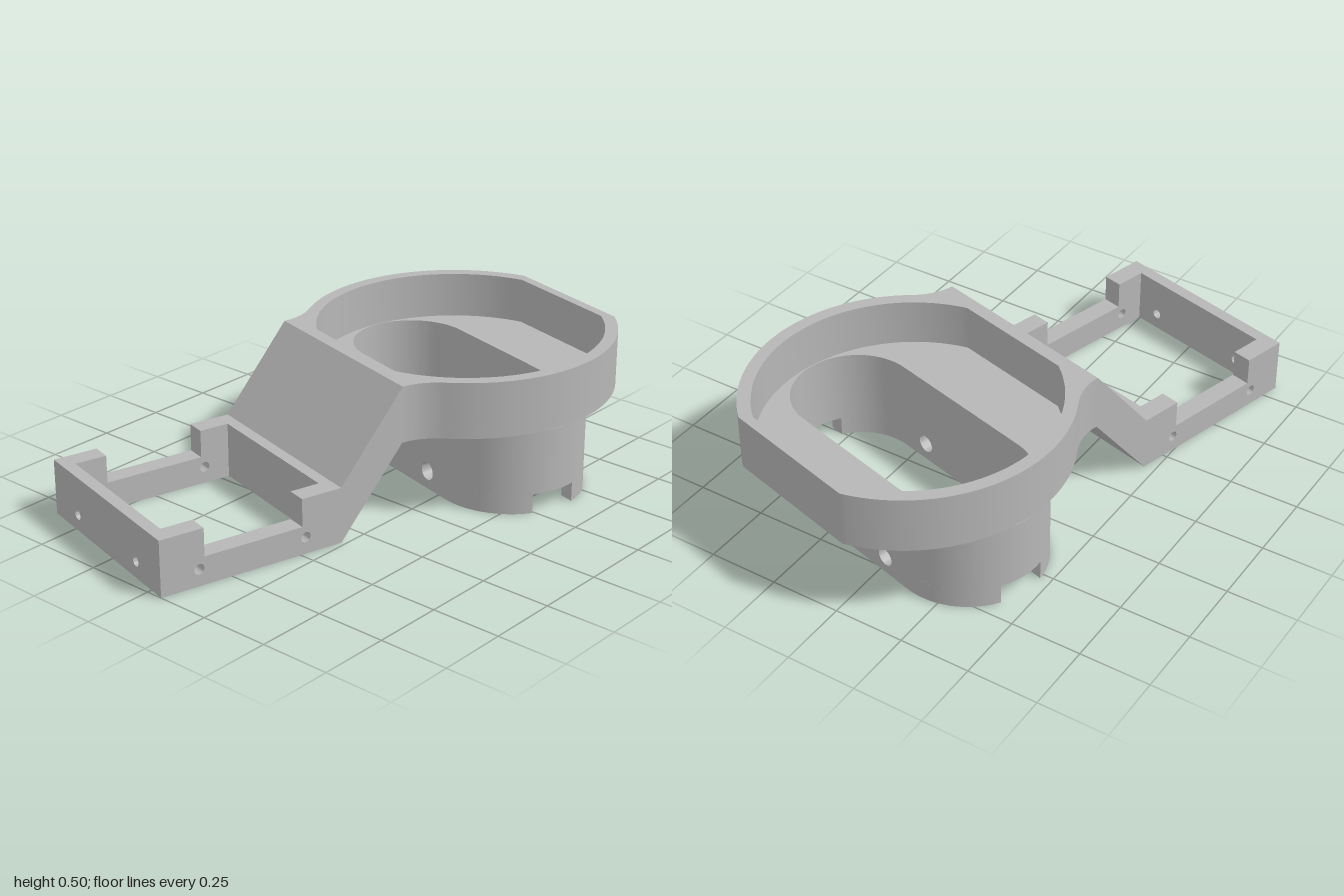
import * as THREE from 'three';
import { toCreasedNormals } from 'three/addons/utils/BufferGeometryUtils.js';

export function createModel() {
  const grey = new THREE.MeshStandardMaterial({ color: 0xb6b6b6 });
  grey.name = 'grey plastic';
  const model = new THREE.Group();
  model.name = 'bracket';

  // Body is laid out along its own long axis (u = x, v = z), then turned 15 degrees
  const body = new THREE.Group();
  body.name = 'bracketBody';
  body.rotation.y = -Math.PI / 12;
  body.position.set(0.011, 0, -0.0415);
  model.add(body);

  const extrude = (shape, depth) =>
    new THREE.ExtrudeGeometry(shape, { depth, bevelEnabled: false, curveSegments: 28 });
  const add = (name, geometry) => {
    const mesh = new THREE.Mesh(toCreasedNormals(geometry, 0.5), grey);
    mesh.name = name;
    body.add(mesh);
    return mesh;
  };
  // Plan shape (u, v) raised from y0 to y1
  const addUp = (name, shape, y0, y1) =>
    add(name, extrude(shape, y1 - y0).rotateX(Math.PI / 2).translate(0, y1, 0));
  // Side profile (u, y) carried across v
  const addAcross = (name, shape, v0, v1) =>
    add(name, extrude(shape, v1 - v0).translate(0, 0, v0));
  // End profile (v, y) carried along u
  const addAlong = (name, shape, u0, u1) =>
    add(name, extrude(shape, u1 - u0).rotateY(Math.PI / 2).translate(u0, 0, 0));

  const polygon = (points) => new THREE.Shape(points.map(([a, b]) => new THREE.Vector2(a, b)));
  const rect = (a0, b0, a1, b1) => polygon([[a0, b0], [a1, b0], [a1, b1], [a0, b1]]);
  const drill = (shape, a, b, r) => {
    shape.holes.push(new THREE.Path().absarc(a, b, r, 0, Math.PI * 2, true));
    return shape;
  };

  const HALF = 0.36;          // half width of frame and ramp
  const C = 0.468;            // centre of the cup
  const START = -0.274, END = -0.033; // ramp start and end

  // Open rectangular frame: notched, drilled side walls
  for (const s of [-1, 1]) {
    const side = polygon([
      [-0.905, 0], [-0.316, 0], [-0.316, 0.2], [-0.425, 0.2],
      [-0.425, 0.1], [-0.79, 0.1], [-0.79, 0.2], [-0.905, 0.2],
    ]);
    drill(side, -0.81, 0.06, 0.018);
    drill(side, -0.412, 0.06, 0.018);
    const mid = s * (HALF - 0.035);
    addAcross('frameSideWall', side, mid - 0.035, mid + 0.035);
  }
  const endWall = rect(-HALF, 0, HALF, 0.2);
  drill(endWall, -0.2, 0.06, 0.018);
  drill(endWall, 0.2, 0.06, 0.018);
  addAlong('frameEndWall', endWall, -0.95, -0.905);
  addAlong('frameInnerWall', rect(-HALF, 0, HALF, 0.2), -0.316, START);

  // Sloping arm up to the cup
  addAcross('ramp', polygon([[START, 0], [END, 0.3], [END, 0.5], [START, 0.2]]), -HALF, HALF);

  // Cup outline: flat right side, round body, fillets into the ramp
  const cupOutline = () => {
    const R = 0.55, flat = Math.acos(0.487 / R), join = Math.atan2(0.416, -0.36);
    const shape = new THREE.Shape();
    shape.moveTo(END, -HALF);
    shape.quadraticCurveTo(C - 0.425, -HALF, C + R * Math.cos(join), -R * Math.sin(join));
    shape.absarc(C, 0, R, -join, -flat, false);
    shape.absarc(C, 0, R, flat, join, false);
    shape.quadraticCurveTo(C - 0.425, HALF, END, HALF);
    shape.closePath();
    return shape;
  };

  // Pocket: circle cut flat on two sides
  const pocket = new THREE.Path();
  const cut = Math.acos(0.452 / 0.505);
  pocket.absarc(C, 0, 0.505, cut, Math.PI - cut, false);
  pocket.absarc(C, 0, 0.505, Math.PI + cut, Math.PI * 2 - cut, false);
  pocket.closePath();

  // Long slot through the floor
  const IN = 0.215, OUT = 0.265, REACH = 0.287;
  const slot = new THREE.Path();
  slot.absarc(C, REACH, IN, 0, Math.PI, false);
  slot.absarc(C, -REACH, IN, Math.PI, Math.PI * 2, false);
  slot.closePath();

  const FLOOR = 0.335;
  const floor = cupOutline();
  floor.holes.push(slot);
  addUp('cupFloor', floor, 0.3, FLOOR);
  const rim = cupOutline();
  rim.holes.push(pocket);
  addUp('cupWall', rim, FLOOR, 0.5);

  // Slotted tube below the cup: drilled flat sides
  for (const s of [-1, 1]) {
    const side = rect(-REACH, 0, REACH, 0.3);
    drill(side, -0.18, 0.065, 0.032);
    drill(side, 0.18, 0.065, 0.032);
    const mid = C + s * (IN + OUT) / 2;
    addAlong('tubeSide', side, mid - 0.025, mid + 0.025);
  }

  // Rounded tube ends, with a notch at the bottom of each
  const NOTCH = 0.07, GAP = 0.085;
  const aOut = Math.acos(GAP / OUT), aIn = Math.acos(GAP / IN);
  const arcWall = (s, o0, o1, i0, i1) => {
    const turn = s > 0 ? 0 : Math.PI;
    const shape = new THREE.Shape();
    shape.absarc(C, s * REACH, OUT, o0 + turn, o1 + turn, false);
    shape.absarc(C, s * REACH, IN, i1 + turn, i0 + turn, true);
    shape.closePath();
    return shape;
  };
  for (const s of [-1, 1]) {
    addUp('tubeEnd', arcWall(s, 0, Math.PI, 0, Math.PI), NOTCH, 0.3);
    addUp('tubeEndFoot', arcWall(s, 0, aOut, 0, aIn), 0, NOTCH);
    addUp('tubeEndFoot', arcWall(s, Math.PI - aOut, Math.PI, Math.PI - aIn, Math.PI), 0, NOTCH);
  }

  return model;
}
